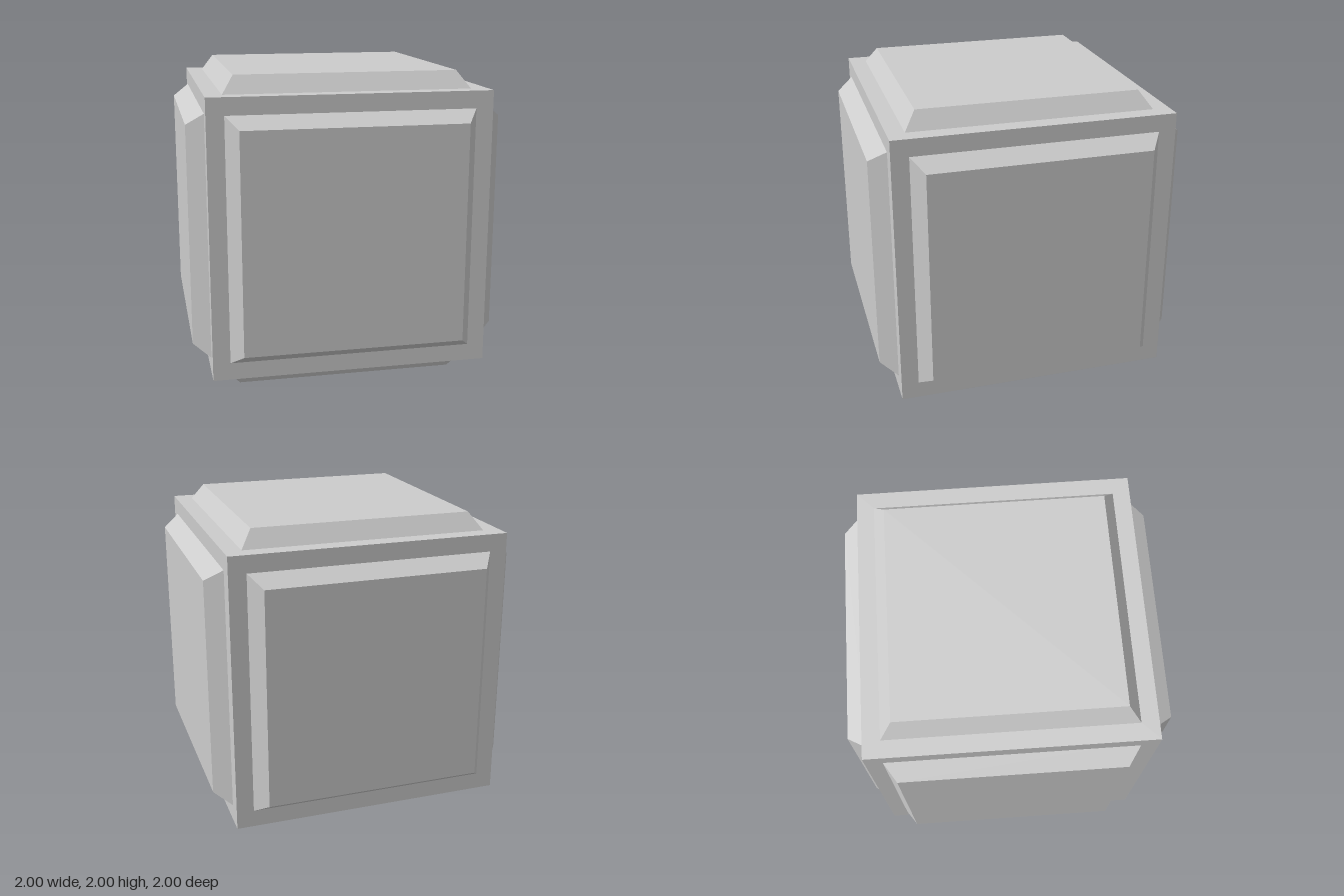
import * as THREE from 'three';

const CORE = 0.89;       // half size of the cube
const BASE = 0.78;       // half width of a panel where it meets the cube
const TOP = 0.705;       // half width of a panel's flat outer face
const OUTER = 1.0;       // distance of a panel's outer face from the centre
const SINK = 0.02;       // how far a panel continues into the cube

// Square frustum pointing along +y, its slope continued slightly into the cube
function panelGeometry() {
  const height = OUTER - CORE + SINK;
  const bottom = BASE + SINK * (BASE - TOP) / (OUTER - CORE);
  const geometry = new THREE.CylinderGeometry(TOP * Math.SQRT2, bottom * Math.SQRT2, height, 4);
  geometry.rotateY(Math.PI / 4);
  geometry.translate(0, OUTER - height / 2, 0);
  return geometry;
}

export function createModel() {
  const model = new THREE.Group();
  model.name = 'panelledCube';
  const material = new THREE.MeshStandardMaterial({ color: 0xcccccc, flatShading: true });

  // Cube body
  const core = new THREE.Mesh(new THREE.BoxGeometry(2 * CORE, 2 * CORE, 2 * CORE), material);
  core.name = 'cubeBody';
  core.position.y = 1;
  model.add(core);

  // One bevelled panel on each of the six sides
  const geometry = panelGeometry();
  const quarter = Math.PI / 2;
  const sides = {
    topPanel: [0, 0],
    bottomPanel: [2 * quarter, 0],
    frontPanel: [quarter, 0],
    backPanel: [-quarter, 0],
    leftPanel: [0, -quarter],
    rightPanel: [0, quarter],
  };
  for (const [name, [rx, rz]] of Object.entries(sides)) {
    const panel = new THREE.Mesh(geometry, material);
    panel.name = name;
    panel.rotation.set(rx, 0, rz);
    panel.position.y = 1;
    model.add(panel);
  }
  return model;
}
